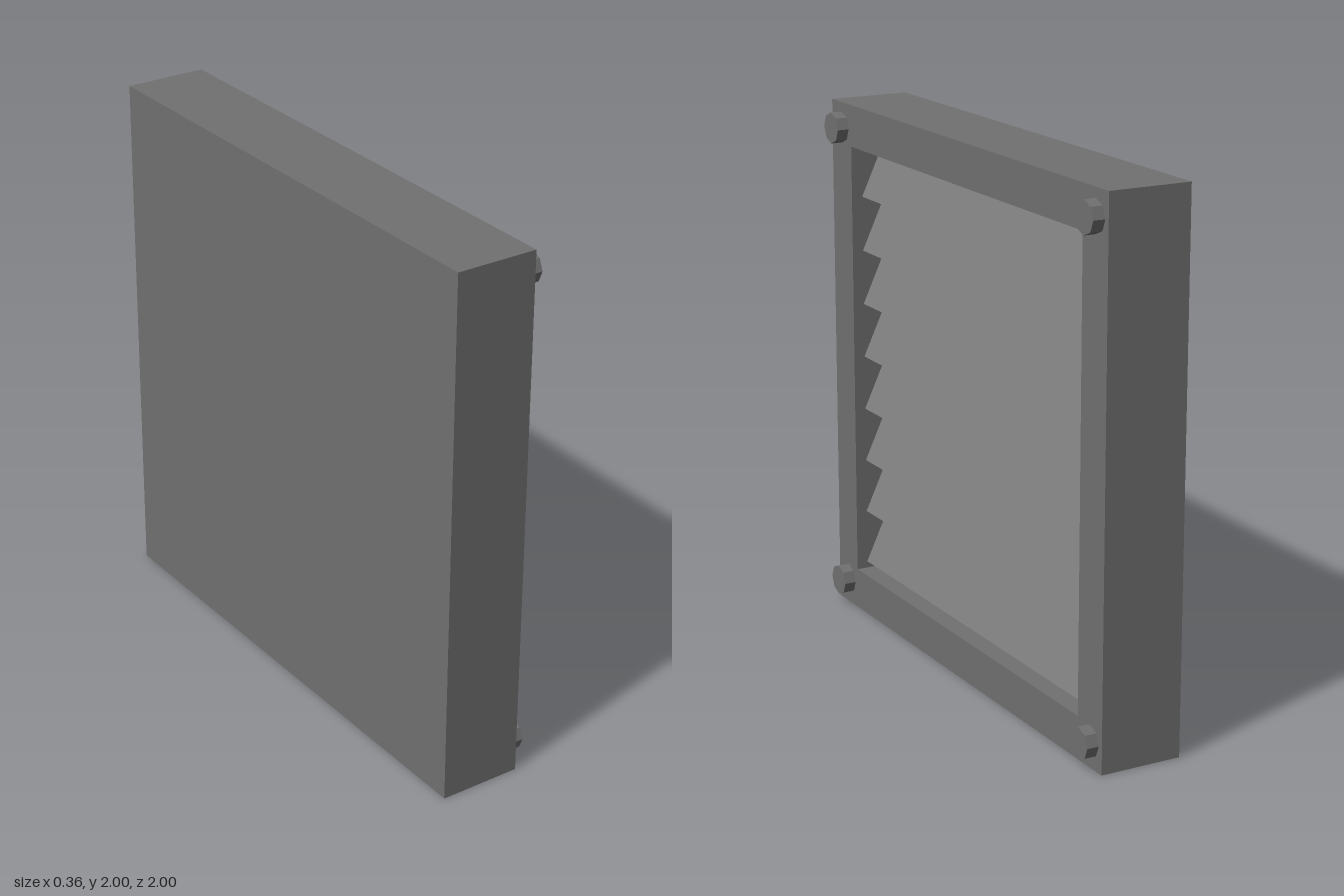
import * as THREE from 'three';

const frameMaterial = new THREE.MeshStandardMaterial({ color: 0x707070, flatShading: true });
const slatMaterial = new THREE.MeshStandardMaterial({ color: 0x7c7c7c, flatShading: true });

function part(name, geometry, material, parent, x = 0, y = 0, z = 0) {
  const mesh = new THREE.Mesh(geometry, material);
  mesh.name = name;
  mesh.position.set(x, y, z);
  parent.add(mesh);
}

export function createModel() {
  const model = new THREE.Group();
  model.name = 'louvredVent';

  const back = -0.178, front = 0.133, floor = 0;
  const bottom = 0.158, top = 1.842, halfWidth = 0.842;

  // Square frame with a rectangular opening, extruded along x
  const outline = new THREE.Shape([
    new THREE.Vector2(-1, 0), new THREE.Vector2(1, 0),
    new THREE.Vector2(1, 2), new THREE.Vector2(-1, 2),
  ]);
  outline.holes.push(new THREE.Path([
    new THREE.Vector2(-halfWidth, bottom), new THREE.Vector2(-halfWidth, top),
    new THREE.Vector2(halfWidth, top), new THREE.Vector2(halfWidth, bottom),
  ]));
  const frame = new THREE.ExtrudeGeometry(outline, { depth: front - back, bevelEnabled: false });
  frame.rotateY(Math.PI / 2);
  part('frame', frame, frameMaterial, model, back);

  // Solid panel filling the opening behind the slats
  part('backPanel', new THREE.BoxGeometry(floor - back, top - bottom, halfWidth * 2),
    frameMaterial, model, (floor + back) / 2, (top + bottom) / 2);

  // Thin tilted slats: the upper edge meets the panel, the lower edge leans outwards
  const slats = new THREE.Group();
  slats.name = 'slats';
  model.add(slats);
  const profile = new THREE.Shape([
    new THREE.Vector2(0, 0), new THREE.Vector2(-0.009, -0.004),
    new THREE.Vector2(0.081, -0.199), new THREE.Vector2(0.09, -0.195),
  ]);
  const slat = new THREE.ExtrudeGeometry(profile, { depth: halfWidth * 2, bevelEnabled: false });
  slat.translate(0, 0, -halfWidth);
  for (let i = 0; i < 8; i++) part('slat', slat, slatMaterial, slats, floor, top - i * 0.209);

  // Octagonal bolt heads in the corners
  const bolt = new THREE.CylinderGeometry(0.059, 0.059, 0.045, 8);
  bolt.rotateZ(-Math.PI / 2);
  for (const y of [0.098, 1.905]) {
    for (const z of [-0.921, 0.921]) part('bolt', bolt, frameMaterial, model, front + 0.0225, y, z);
  }
  return model;
}
